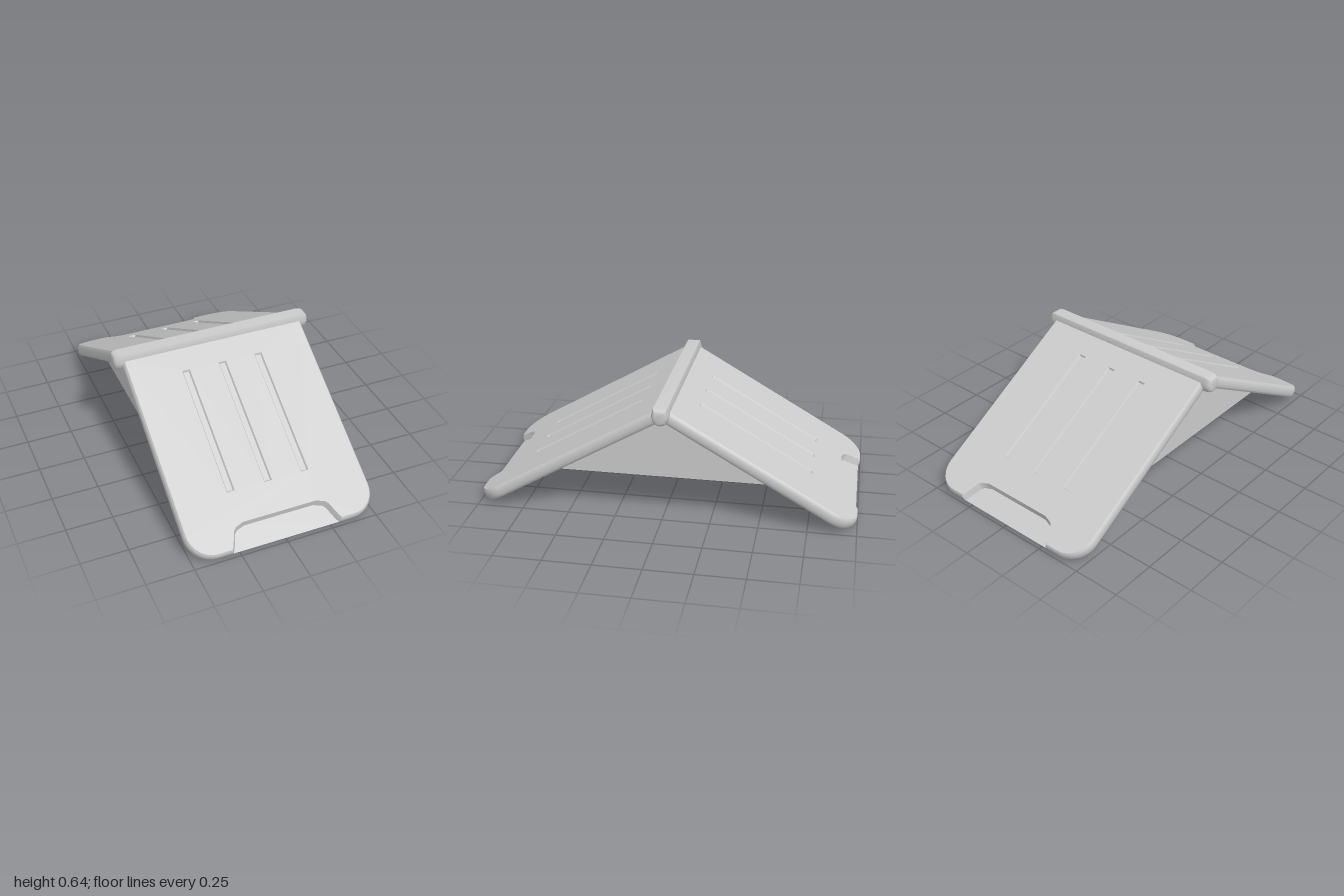
import * as THREE from 'three';
import { toCreasedNormals } from 'three/addons/utils/BufferGeometryUtils.js';

const W = 0.512, L = 1.126, T = 0.065, R = 0.14, FLOOR = 0.03;
const PITCH = Math.PI / 3, RIDGE = 0.557;
const material = new THREE.MeshStandardMaterial({ color: 0xcccccc });
const V = (x, y) => new THREE.Vector2(x, y);

// Wall between two equal-length rings { pts, z }
function wall(out, a, b) {
  const n = a.pts.length;
  for (let i = 0; i < n; i++) {
    const j = (i + 1) % n;
    for (const [r, k] of [[a, i], [a, j], [b, j], [a, i], [b, j], [b, i]])
      out.push(r.pts[k].x, r.pts[k].y, r.z);
  }
}

// Flat cap over a counter-clockwise ring, with optional holes
function cap(out, ring, flip = false, holes = []) {
  const all = [ring.pts, ...holes].flat();
  for (const f of THREE.ShapeUtils.triangulateShape(ring.pts.slice(), holes))
    for (const k of flip ? [f[0], f[2], f[1]] : f) out.push(all[k].x, all[k].y, ring.z);
}

function loft(out, rings) {
  for (let i = 1; i < rings.length; i++) wall(out, rings[i - 1], rings[i]);
}

function solid(out, crease) {
  const g = new THREE.BufferGeometry();
  g.setAttribute('position', new THREE.Float32BufferAttribute(out, 3));
  return toCreasedNormals(g, crease);
}

// Handle notch at the lower edge, left to right; d trims the edge, k shrinks it
function notch(d, k) {
  const half = [[0.3, d], [0.288, 0.03], [0.26, 0.1], [0.245, 0.115], [0.2, 0.13]];
  const left = half.map(([x, s]) => V(-x + k, -L + (s > d ? s - k : s)));
  return [...left, ...left.slice().reverse().map(p => V(-p.x, p.y))];
}

// Panel outline, counter-clockwise, inset by d
function outline(d, mid = []) {
  const left = [V(-W + d, 0)];
  for (let i = 0; i <= 8; i++) {
    const a = (i / 8) * Math.PI / 2;
    left.push(V(-W + R - (R - d) * Math.cos(a), -L + R - (R - d) * Math.sin(a)));
  }
  return [...left, ...mid, ...left.slice().reverse().map(p => V(-p.x, p.y))];
}

// Groove rectangle, clockwise so that its walls face inward
function groove(x, k) {
  const w = 0.021 - k, a = -0.14 - k, b = -0.83 + k;
  return [V(x - w, b), V(x - w, a), V(x + w, a), V(x + w, b)];
}

function panelGeometry() {
  const out = [];
  // Lower layer, full outline
  const lower = [[0, 0.012], [0.006, 0.006], [0.015, 0.002], [FLOOR, 0]]
    .map(([z, d]) => ({ pts: outline(d), z }));
  loft(out, lower);
  cap(out, lower[0], true);
  cap(out, { pts: notch(0, 0.01).reverse(), z: FLOOR });

  // Upper layer, cut by the notch
  const upper = [[FLOOR, 0], [0.045, 0.001], [0.057, 0.005], [T, 0.012]].map(([z, d]) => ({
    pts: outline(d, notch(d, 0.01 * (T - z) / (T - FLOOR))), z
  }));
  loft(out, upper);

  // Top face with three shallow grooves
  const xs = [-0.205, 0, 0.205];
  cap(out, upper.at(-1), false, xs.map(x => groove(x, 0)));
  for (const x of xs) {
    const bed = { pts: groove(x, 0.006), z: T - 0.01 };
    wall(out, bed, { pts: groove(x, 0), z: T });
    cap(out, { pts: bed.pts.slice().reverse(), z: bed.z });
  }
  return solid(out, 0.7);
}

// Ridge bar with rounded ends
function barGeometry() {
  const half = [[0, 0.543], [0.022, 0.549], [0.036, 0.562], [0.047, 0.598], [0.035, 0.637]];
  const right = half.map(([x, y]) => V(x, y));
  const profile = [...right, ...right.slice(1).reverse().map(p => V(-p.x, p.y))];
  const rings = [[-0.555, 0.6], [-0.55, 0.8], [-0.538, 0.94], [-0.52, 1],
    [0.52, 1], [0.538, 0.94], [0.55, 0.8], [0.555, 0.6]]
    .map(([z, k]) => ({ z, pts: profile.map(p => V(p.x * k, 0.592 + (p.y - 0.592) * k)) }));
  const out = [];
  loft(out, rings);
  cap(out, rings[0], true);
  cap(out, rings.at(-1));
  return solid(out, 0.9).rotateY(Math.PI / 2);
}

export function createModel() {
  const model = new THREE.Group();
  model.name = 'foldingFloorSign';

  // Two sloping panels
  const panel = panelGeometry();
  for (const [name, turn] of [['frontPanel', 0], ['backPanel', Math.PI]]) {
    const side = new THREE.Group();
    side.name = name;
    side.rotation.y = turn;
    const mesh = new THREE.Mesh(panel, material);
    mesh.name = name + 'Board';
    mesh.position.y = RIDGE;
    mesh.rotation.x = -PITCH;
    side.add(mesh);
    model.add(side);
  }

  // Bar along the ridge
  const bar = new THREE.Mesh(barGeometry(), material);
  bar.name = 'ridgeBar';
  model.add(bar);

  // Thin triangular webs that hold the panels apart
  const web = new THREE.ShapeGeometry(new THREE.Shape([V(-0.6, 0.216), V(0.6, 0.216), V(0, 0.565)]));
  web.rotateY(Math.PI / 2);
  const thin = new THREE.MeshStandardMaterial({ color: 0xcccccc, side: THREE.DoubleSide });
  for (const [name, x] of [['leftWeb', 0.43], ['rightWeb', -0.43]]) {
    const mesh = new THREE.Mesh(web, thin);
    mesh.name = name;
    mesh.position.x = x;
    model.add(mesh);
  }
  return model;
}
